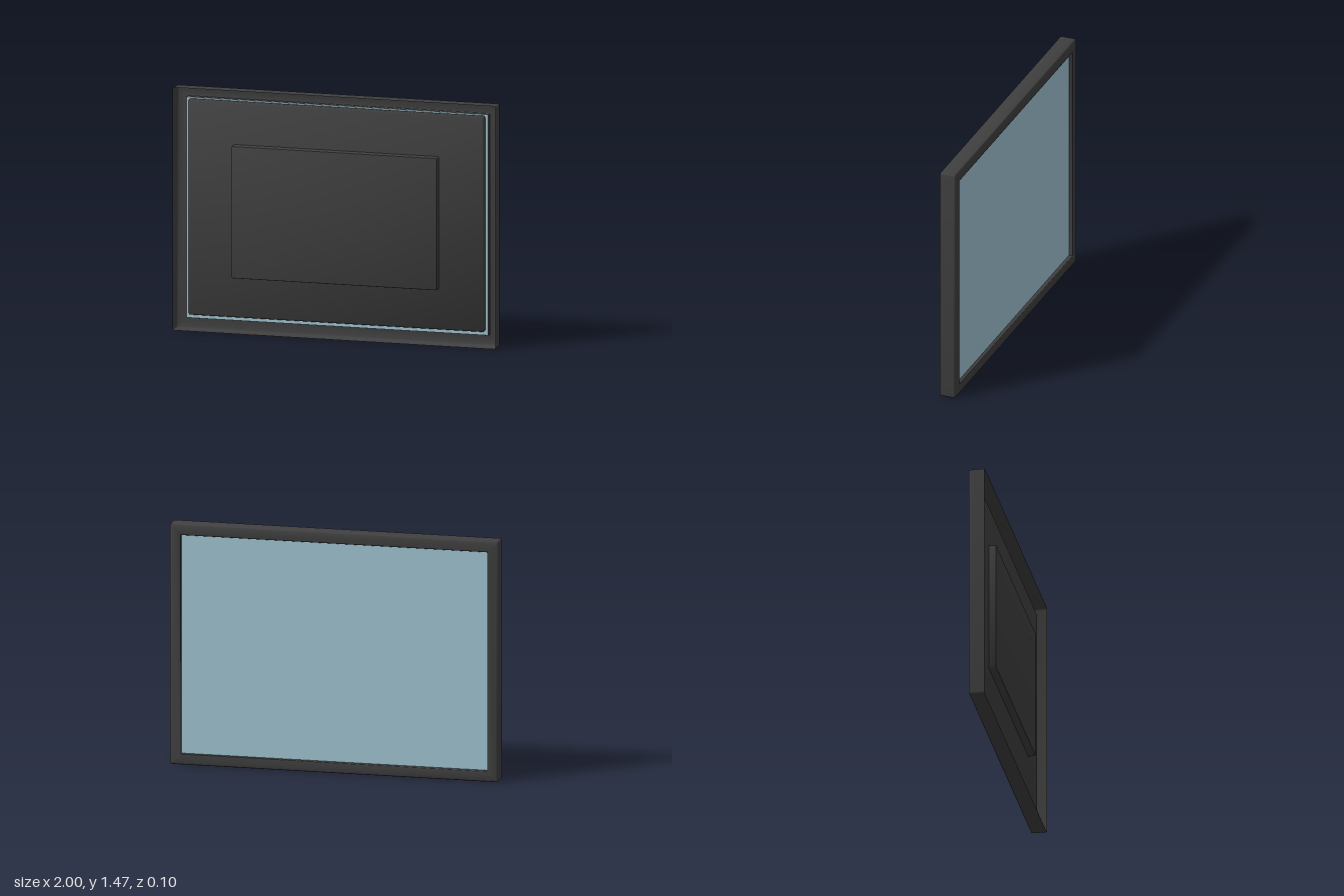
import * as THREE from 'three';
import { toCreasedNormals } from 'three/addons/utils/BufferGeometryUtils.js';

const W = 2, H = 1.47;
const dark = new THREE.MeshStandardMaterial({ color: 0x404040, side: THREE.DoubleSide });
const blue = new THREE.MeshStandardMaterial({ color: 0xa3c8d5 });

// Counter-clockwise rounded rectangle, as a list of [x, y]
function ring(w, h, r, steps = 4) {
  const pts = [];
  [[1, 1], [-1, 1], [-1, -1], [1, -1]].forEach(([sx, sy], q) => {
    for (let i = 0; i <= steps; i++) {
      const a = (q + i / steps) * Math.PI / 2;
      pts.push([sx * (w / 2 - r) + r * Math.cos(a), sy * (h / 2 - r) + r * Math.sin(a)]);
    }
  });
  return pts;
}

// Skin over rounded rectangles that follow a profile of [inset, z]
function skin(w, h, radius, profile, capped) {
  const pos = [], index = [];
  let n = 0;
  profile.forEach(([inset, z], k) => {
    const loop = ring(w - 2 * inset, h - 2 * inset, Math.max(radius - inset, 0.002));
    n = loop.length;
    loop.forEach(([x, y]) => pos.push(x, y, z));
    if (k === 0) return;
    for (let j = 0; j < n; j++) {
      const a = (k - 1) * n + j, b = (k - 1) * n + (j + 1) % n;
      index.push(a, b, b + n, a, b + n, a + n);
    }
  });
  if (capped) {
    const last = (profile.length - 1) * n, centre = profile.length * n;
    pos.push(0, 0, profile[profile.length - 1][1]);
    for (let j = 0; j < n; j++) index.push(last + j, last + (j + 1) % n, centre);
  }
  const geo = new THREE.BufferGeometry();
  geo.setAttribute('position', new THREE.Float32BufferAttribute(pos, 3));
  geo.setIndex(index);
  return toCreasedNormals(geo, 0.7);
}

export function createModel() {
  const group = new THREE.Group();
  const add = (name, geometry, material, y = H / 2) => {
    const mesh = new THREE.Mesh(geometry, material);
    mesh.name = name;
    mesh.position.y = y;
    group.add(mesh);
    return mesh;
  };

  // Thin frame shell: inner lip, rear bezel, rounded edge, outer wall open to the front
  add('frame', skin(W, H, 0.012, [
    [0.067, -0.022], [0.067, -0.044], [0.065, -0.048], [0.06, -0.05],
    [0.014, -0.049], [0.006, -0.046], [0.001, -0.04], [0, -0.034], [0, 0.048],
  ], false), dark);

  // Glass set into the frame opening
  add('glass', new THREE.BoxGeometry(1.866, 1.336, 0.004), blue).position.z = -0.025;

  // Cover panel over the glass, with softened edges
  add('coverPanel', skin(1.83, 1.305, 0.012, [
    [0, -0.024], [0, -0.006], [0.003, 0], [0.01, 0.005],
  ], true), dark, 0.742);

  // Raised housing on the cover
  add('raisedHousing', skin(1.27, 0.8, 0.008, [
    [-0.002, 0.004], [0, 0.043], [0.002, 0.048], [0.006, 0.05],
  ], true), dark, 0.735);

  return group;
}
